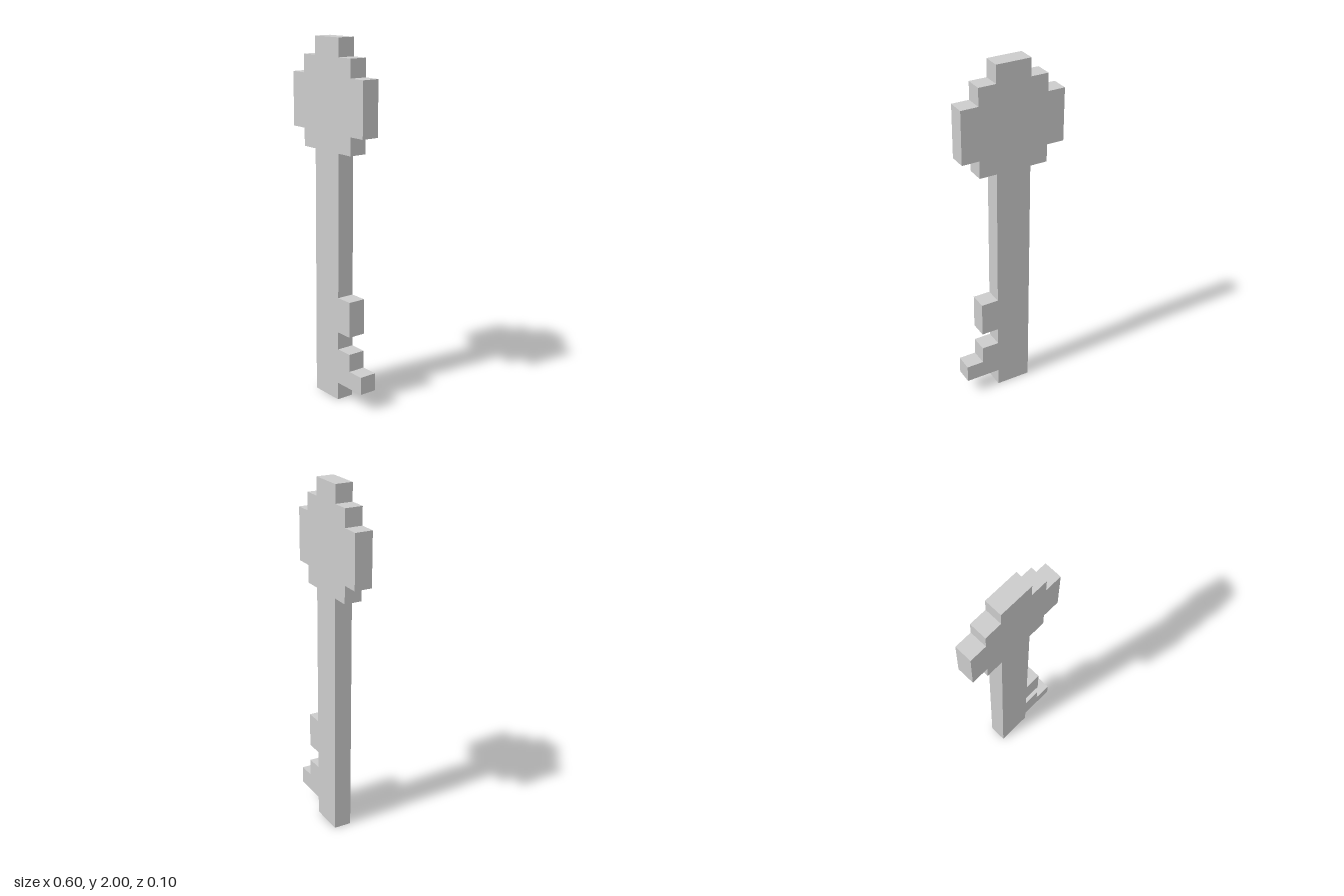
import * as THREE from 'three';

const DEPTH = 0.1;

export function createModel() {
  const group = new THREE.Group();
  group.name = 'key';

  // Right half of the stepped bow, from the shaft up to the crown
  const bowSide = [
    [0.1, 1.4], [0.2, 1.4], [0.2, 1.5], [0.3, 1.5], [0.3, 1.8],
    [0.2, 1.8], [0.2, 1.9], [0.1, 1.9], [0.1, 2],
  ];
  // Teeth along the lower shaft, from the tip upwards
  const teeth = [
    [0.1, 0], [0.1, 0.1], [0.3, 0.1], [0.3, 0.2], [0.2, 0.2], [0.2, 0.3],
    [0.1, 0.3], [0.1, 0.4], [0.2, 0.4], [0.2, 0.6], [0.1, 0.6],
  ];
  // Full outline: tip, teeth, bow, mirrored bow, and back down the plain edge
  const mirroredBow = bowSide.map(([x, y]) => [-x, y]).reverse();
  const outline = [[-0.1, 0], ...teeth, ...bowSide, ...mirroredBow];

  const shape = new THREE.Shape(outline.map(([x, y]) => new THREE.Vector2(x, y)));
  const geometry = new THREE.ExtrudeGeometry(shape, { depth: DEPTH, bevelEnabled: false });
  geometry.translate(0, 0, -DEPTH / 2);

  const body = new THREE.Mesh(
    geometry,
    new THREE.MeshStandardMaterial({ color: 0xcccccc, flatShading: true }),
  );
  body.name = 'keyBody';
  group.add(body);
  return group;
}
